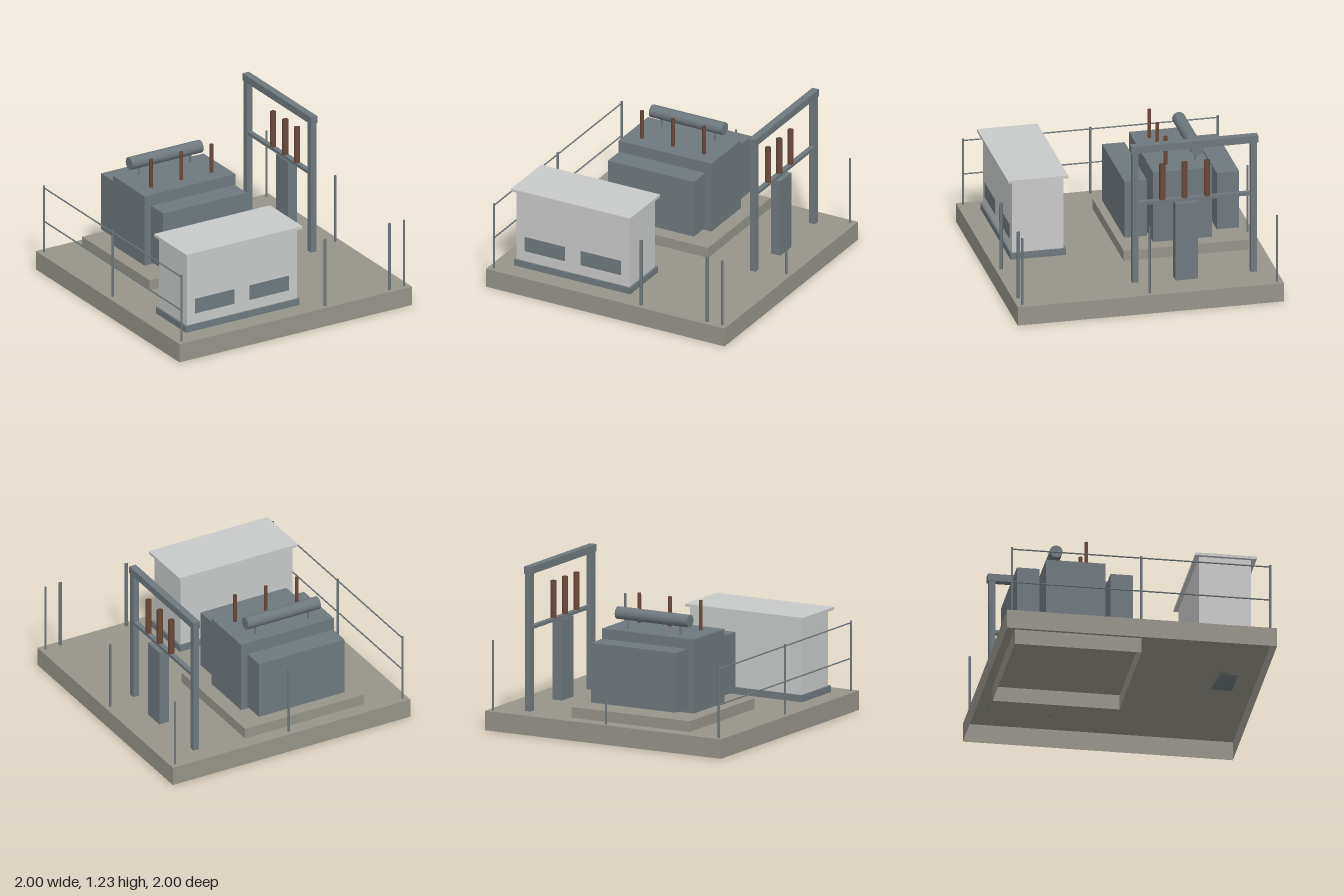
import * as THREE from 'three';

const material = (name, color, side = THREE.FrontSide) => {
  const m = new THREE.MeshStandardMaterial({ color, side });
  m.name = name;
  return m;
};

export function createModel() {
  const concrete = material('concrete', 0x96948a, THREE.DoubleSide);
  const steel = material('blue grey steel', 0x6f797e);
  const tube = material('steel tube', 0x6f797e, THREE.DoubleSide);
  const panel = material('light grey panel', 0xc8cac9);
  const porcelain = material('brown porcelain', 0x6b4a3a, THREE.DoubleSide);

  const root = new THREE.Group();
  root.name = 'substation';
  const group = (name) => {
    const g = new THREE.Group();
    g.name = name;
    root.add(g);
    return g;
  };

  // Box given by its limits on each axis
  const box = (parent, name, mat, [x0, x1], [y0, y1], [z0, z1]) => {
    const mesh = new THREE.Mesh(new THREE.BoxGeometry(x1 - x0, y1 - y0, z1 - z0), mat);
    mesh.position.set((x0 + x1) / 2, (y0 + y1) / 2, (z0 + z1) / 2);
    mesh.name = name;
    parent.add(mesh);
    return mesh;
  };
  // Box without its underside
  const hollowBox = (...args) => {
    const mesh = box(...args);
    const index = Array.from(mesh.geometry.index.array);
    index.splice(18, 6);
    mesh.geometry.setIndex(index);
    mesh.geometry.clearGroups();
  };
  // Upright open tube
  const upright = (parent, name, mat, r, x, z, y0, y1, sides = 10) => {
    const mesh = new THREE.Mesh(new THREE.CylinderGeometry(r, r, y1 - y0, sides, 1, true), mat);
    mesh.position.set(x, (y0 + y1) / 2, z);
    mesh.name = name;
    parent.add(mesh);
  };

  const ground = 0.145;

  // Foundations, open underneath
  const foundation = group('foundation');
  hollowBox(foundation, 'slab', concrete, [-1, 1], [0, ground], [-1, 1]);
  hollowBox(foundation, 'transformerPad', concrete, [-0.67, 0.33], [0.03, 0.225], [-0.89, 0.05]);

  // Transformer with radiators, bushings and oil conservator
  const transformer = group('transformer');
  box(transformer, 'tank', steel, [-0.56, 0.22], [0.225, 0.778], [-0.64, -0.198]);
  for (const z of [-0.767, -0.073]) {
    box(transformer, 'radiator', steel, [-0.53, 0.19], [0.267, 0.713], [z - 0.084, z + 0.084]);
  }
  for (const x of [-0.43, -0.17, 0.09]) {
    upright(transformer, 'bushing', porcelain, 0.014, x, -0.32, 0.778, 1.0);
  }
  for (const x of [-0.393, 0.053]) {
    upright(transformer, 'conservatorSupport', tube, 0.007, x, -0.55, 0.778, 0.86, 8);
  }
  const conservator = new THREE.Mesh(new THREE.CylinderGeometry(0.048, 0.048, 0.612, 12), steel);
  conservator.rotation.z = Math.PI / 2;
  conservator.position.set(-0.17, 0.89, -0.55);
  conservator.name = 'conservator';
  transformer.add(conservator);

  // Switchgear kiosk
  const kiosk = group('kiosk');
  box(kiosk, 'kioskPlinth', steel, [-0.85, 0.125], [ground, 0.195], [0.433, 0.85]);
  box(kiosk, 'kioskBody', panel, [-0.835, 0.11], [0.195, 0.757], [0.45, 0.835]);
  box(kiosk, 'kioskRoof', panel, [-0.862, 0.136], [0.757, 0.778], [0.42, 0.873]);
  for (const x of [-0.598, -0.128]) {
    box(kiosk, 'louvre', steel, [x - 0.168, x + 0.168], [0.277, 0.392], [0.834, 0.84]);
  }

  // Portal frame carrying the breaker
  const portal = group('portalFrame');
  for (const z of [0.057, -0.833]) {
    box(portal, 'column', steel, [0.697, 0.745], [ground, 1.172], [z - 0.024, z + 0.024]);
  }
  box(portal, 'topBeam', steel, [0.693, 0.748], [1.17, 1.226], [-0.865, 0.088]);
  box(portal, 'crossBeam', steel, [0.703, 0.739], [0.753, 0.778], [-0.815, 0.04]);
  box(portal, 'breakerCabinet', steel, [0.695, 0.775], [ground, 0.752], [-0.404, -0.238]);
  for (const z of [-0.15, -0.317, -0.485]) {
    upright(portal, 'breakerBushing', porcelain, 0.023, 0.721, z, 0.778, 1.056, 12);
  }

  // Perimeter fence: slim posts, two gate posts and rails on one side
  const fence = group('fence');
  const top = 0.67;
  for (const x of [-0.957, 0.957]) {
    for (const z of [-0.957, 0, 0.957]) upright(fence, 'fencePost', tube, 0.0085, x, z, ground, top, 8);
  }
  upright(fence, 'fencePost', tube, 0.0085, 0, -0.957, ground, top, 8);
  for (const x of [0.277, 0.832]) upright(fence, 'gatePost', tube, 0.0125, x, 0.957, ground, top, 8);
  for (const y of [0.39, 0.656]) {
    const rail = new THREE.Mesh(new THREE.CylinderGeometry(0.0055, 0.0055, 1.914, 8, 1, true), tube);
    rail.rotation.x = Math.PI / 2;
    rail.position.set(-0.957, y, 0);
    rail.name = 'fenceRail';
    fence.add(rail);
  }
  return root;
}
